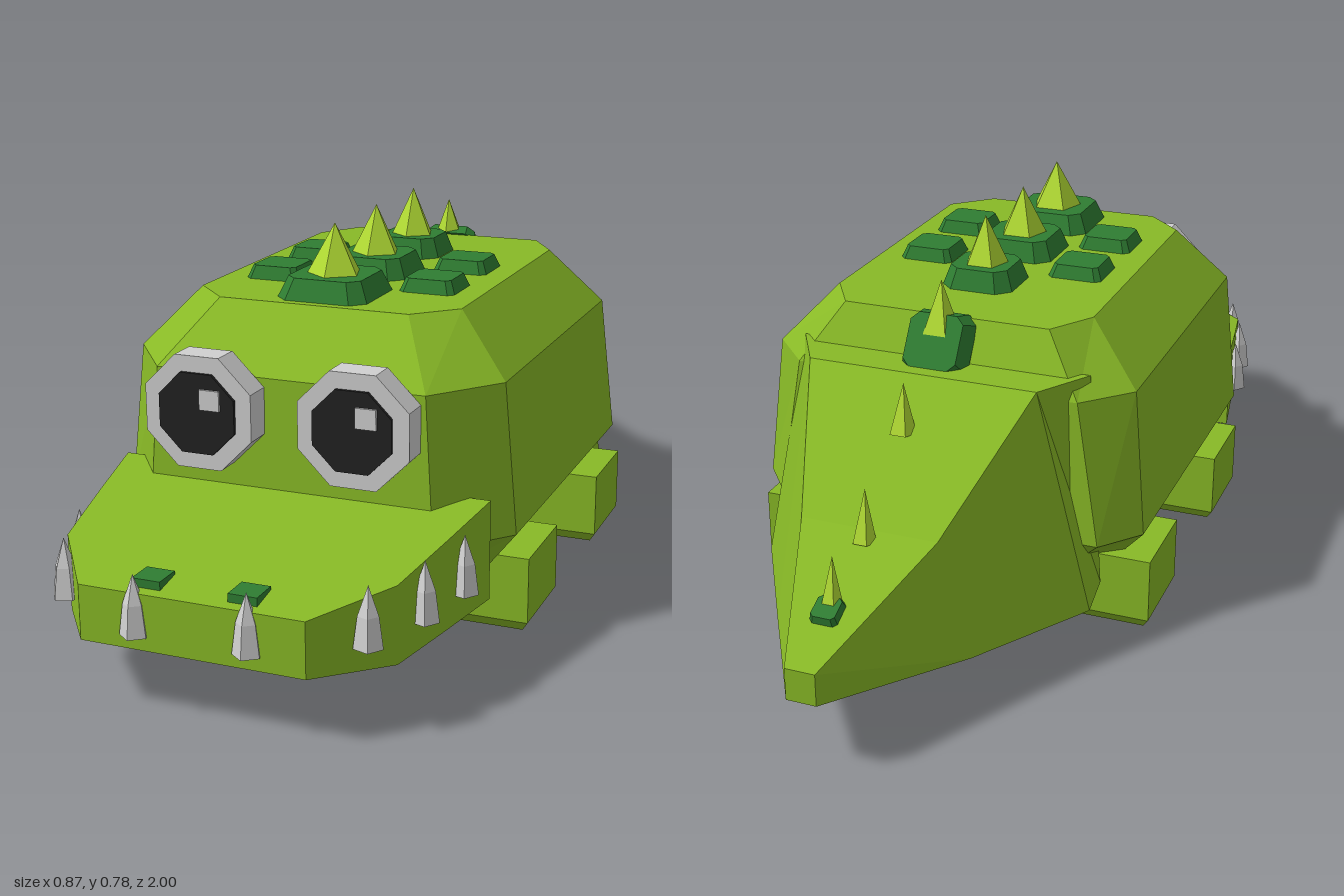
import * as THREE from 'three';

const mat = (name, color) => new THREE.MeshStandardMaterial({ name, color, flatShading: true });

// Closed solid through rings of equal point count, capped at both ends
function loft(rings) {
  const n = rings[0].length, pos = rings.flat(), tris = [];
  for (let r = 0; r < rings.length - 1; r++) {
    for (let i = 0; i < n; i++) {
      const a = r * n + i, b = r * n + (i + 1) % n;
      tris.push([a, b, b + n], [a, b + n, a + n]);
    }
  }
  const last = (rings.length - 1) * n;
  for (let i = 1; i < n - 1; i++) tris.push([0, i + 1, i], [last, last + i, last + i + 1]);
  // turn all faces outward
  const v = (i) => new THREE.Vector3(...pos[i]).sub(new THREE.Vector3(...pos[0]));
  let volume = 0;
  for (const [a, b, c] of tris) volume += v(a).dot(v(b).cross(v(c)));
  const index = tris.flatMap(([a, b, c]) => (volume < 0 ? [a, c, b] : [a, b, c]));
  const g = new THREE.BufferGeometry();
  g.setAttribute('position', new THREE.Float32BufferAttribute(pos.flat(), 3));
  g.setIndex(index);
  g.computeVertexNormals();
  return g;
}

// Horizontal ring with cut corners: half widths, front z and back z
const ring = (y, hw, fx, fz, fzc, bx, bz, bzc) => [
  [fx, y, fz], [hw, y, fzc], [hw, y, bzc], [bx, y, bz],
  [-bx, y, bz], [-hw, y, bzc], [-hw, y, fzc], [-fx, y, fz],
];
const square = (y, h, c) => ring(y, h, h - c, h, h - c, h - c, -h, -h + c);

// Four-sided upright section across z
const section = (z, top, topY, bottom, bottomY) => [
  [top, topY, z], [bottom, bottomY, z], [-bottom, bottomY, z], [-top, topY, z],
];

export function createModel() {
  const model = new THREE.Group();
  model.name = 'crocodile';
  const skin = mat('skin green', 0x88b926);
  const plate = mat('plate dark green', 0x2f7d32);
  const horn = mat('spike lime', 0xb2dc34);
  const white = mat('eye and tooth grey', 0xd0d0d0);
  const black = mat('pupil black', 0x222222);

  const add = (name, geometry, material, x = 0, y = 0, z = 0, rx = 0) => {
    const m = new THREE.Mesh(geometry, material);
    m.name = name;
    m.position.set(x, y, z);
    m.rotation.x = rx;
    model.add(m);
    return m;
  };

  // Body
  add('body', loft([
    ring(0.105, 0.33, 0.22, 0.53, 0.42, 0.25, -0.31, -0.25),
    ring(0.22, 0.42, 0.3, 0.57, 0.43, 0.35, -0.405, -0.32),
    ring(0.52, 0.39, 0.28, 0.56, 0.42, 0.3, -0.395, -0.3),
    ring(0.64, 0.28, 0.2, 0.44, 0.36, 0.22, -0.335, -0.24),
  ]), skin);

  // Tail
  add('tail', loft([
    section(-0.27, 0.2, 0.5, 0.3, 0.108),
    section(-0.345, 0.31, 0.56, 0.34, 0.108),
    section(-0.46, 0.24, 0.56, 0.355, 0.108),
    section(-0.71, 0.14, 0.345, 0.205, 0.112),
    section(-1, 0.03, 0.21, 0.03, 0.145),
  ]), skin);

  // Snout
  add('snout', loft([
    section(0.5, 0.39, 0.31, 0.39, 0.11),
    section(0.66, 0.362, 0.286, 0.362, 0.11),
    section(0.83, 0.33, 0.26, 0.33, 0.11),
    section(0.975, 0.22, 0.235, 0.22, 0.128),
  ]), skin);

  // Legs with a bevelled sole
  const box = (y, hx, hz) => [[hx, y, hz], [hx, y, -hz], [-hx, y, -hz], [-hx, y, hz]];
  const leg = loft([box(0, 0.11, 0.085), box(0.022, 0.124, 0.1), box(0.158, 0.124, 0.1)]);
  for (const s of [1, -1]) {
    add('frontLeg', leg, skin, s * 0.312, 0, 0.295);
    add('backLeg', leg, skin, s * 0.312, 0, -0.22);
  }

  // Back plates and spikes
  const slab = (h, height, c) => loft([square(0, h, c), square(height, h * 0.8, c * 0.8)]);
  const spike = (r, h) => new THREE.ConeGeometry(r, h, 5).translate(0, h / 2, 0);
  [[0.325, 0.097, 0.06], [0.105, 0.088, 0.055], [-0.115, 0.078, 0.05]].forEach(([z, h, r]) => {
    add('backPlate', slab(h, 0.045, 0.028), plate, 0, 0.637, z);
    add('backSpike', spike(r, 0.108), horn, 0, 0.675, z);
  });
  for (const s of [1, -1]) {
    for (const z of [0.21, 0.01]) {
      add('sidePlate', slab(0.06, 0.03, 0.012), plate, s * 0.17, 0.637, z);
    }
  }
  add('rumpPlate', slab(0.07, 0.04, 0.02), plate, 0, 0.585, -0.365, -1.0);
  add('rumpSpike', spike(0.042, 0.11), horn, 0, 0.61, -0.36, 0.08);

  // Tail spikes
  [[-0.55, 0.475, 0.028, 0.1], [-0.73, 0.33, 0.024, 0.105], [-0.87, 0.262, 0.024, 0.105]].forEach(
    ([z, y, r, h]) => add('tailSpike', spike(r, h), horn, 0, y, z, 0.1));
  add('tailPlate', slab(0.03, 0.025, 0.008), plate, 0, 0.255, -0.88, -0.4);

  // Eyes
  const disc = (r, depth) => new THREE.CylinderGeometry(r, r, depth, 8)
    .rotateY(Math.PI / 8).rotateX(Math.PI / 2);
  for (const s of [1, -1]) {
    add('eye', disc(0.121, 0.06), white, s * 0.16, 0.456, 0.592);
    add('pupil', disc(0.086, 0.008), black, s * 0.16, 0.456, 0.625);
    add('eyeGlint', new THREE.BoxGeometry(0.042, 0.04, 0.006), white, s * 0.16 + 0.03, 0.486, 0.631);
  }

  // Nostrils and upward teeth
  const tooth = new THREE.LatheGeometry(
    [[0, 0], [0.028, 0], [0.02, 0.06], [0, 0.115]].map((p) => new THREE.Vector2(...p)), 5);
  for (const s of [1, -1]) {
    add('nostril', new THREE.BoxGeometry(0.056, 0.025, 0.055), plate, s * 0.094, 0.242, 0.928);
    for (const [x, y, z] of [[0.11, 0.155, 0.972], [0.3, 0.165, 0.89], [0.352, 0.165, 0.752], [0.377, 0.165, 0.61]]) {
      const t = add('tooth', tooth, white, s * x, y, z);
      t.rotation.y = z > 0.95 ? 0 : s * Math.PI / 2;
    }
  }
  return model;
}
